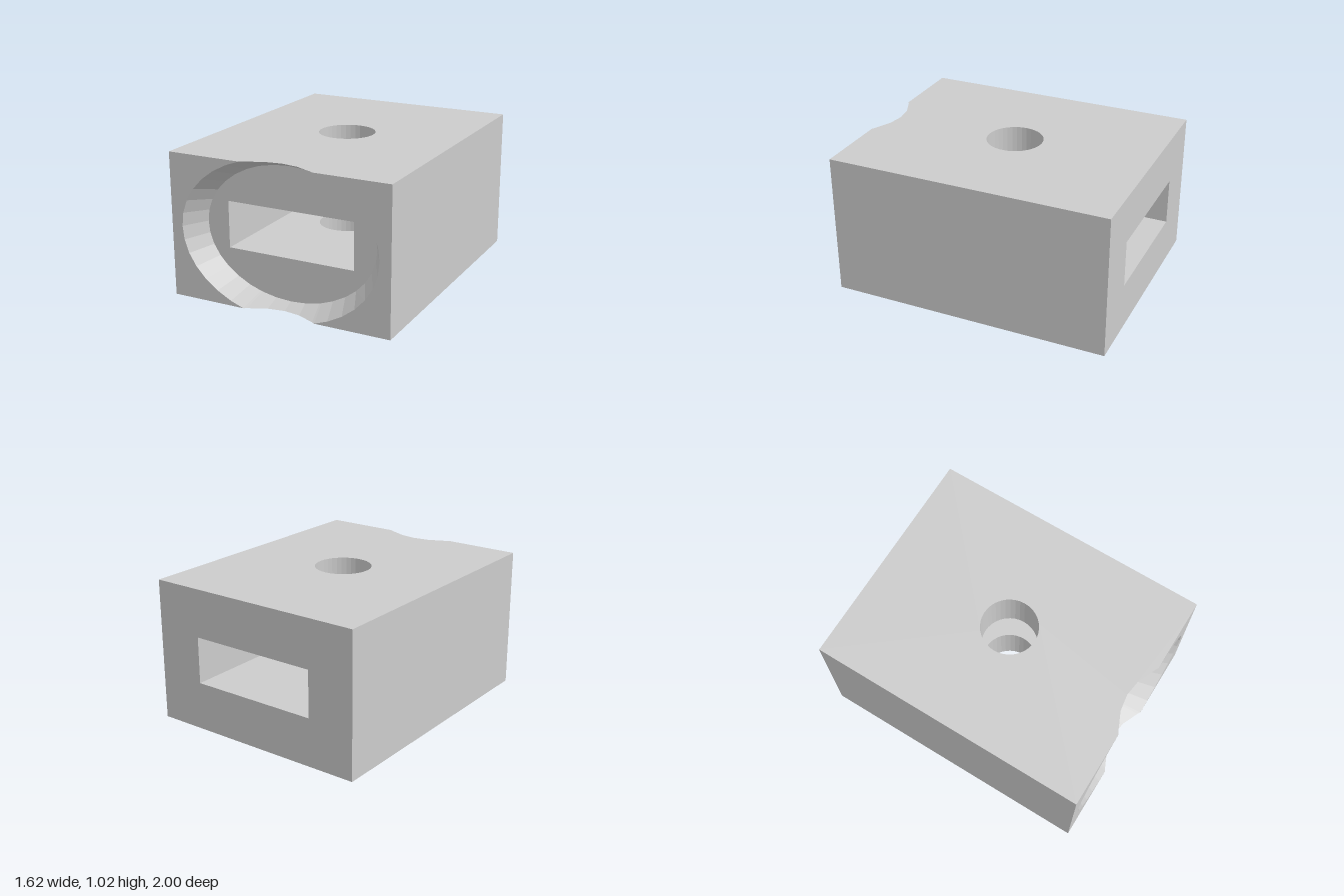
import * as THREE from 'three';

const W = 0.81, H = 0.508, D = 1;                 // half sizes of the block
const SLOT_W = 0.47, SLOT_H = 0.166;              // half sizes of the slot
const HOLE_R = 0.2, FLOOR_Z = 0.83, SIDES = 36;
const OUTER = [0.73, 0.546], INNER = [0.635, 0.471]; // recess ellipse radii

const V = (x, y) => new THREE.Vector2(x, y);
const rect = (w, h) => [V(-w, -h), V(w, -h), V(w, h), V(-w, h)];
const circle = (r, z = 0) => Array.from({ length: SIDES }, (_, i) => {
  const a = (i / SIDES) * Math.PI * 2;
  return V(Math.cos(a) * r, Math.sin(a) * r + z);
});

// Flat face in the xy plane, facing +z
function face(points, hole) {
  const shape = new THREE.Shape(points);
  if (hole) shape.holes.push(new THREE.Path(hole));
  return new THREE.ShapeGeometry(shape);
}

// Horizontal face from (x, z) points at height y, facing up or down
function level(points, hole, y, up) {
  const s = up ? -1 : 1;
  const flip = (list) => list && list.map((p) => V(p.x, s * p.y));
  return face(flip(points), flip(hole)).rotateX(s * Math.PI / 2).translate(0, y, 0);
}

// Faceted band between two rows of points
function band(a, b) {
  const pos = [];
  for (let i = 0; i + 1 < a.length; i++) {
    for (const p of [a[i], a[i + 1], b[i], a[i + 1], b[i + 1], b[i]]) pos.push(...p);
  }
  const geo = new THREE.BufferGeometry();
  geo.setAttribute('position', new THREE.Float32BufferAttribute(pos, 3));
  geo.computeVertexNormals();
  return geo;
}

export function createModel() {
  const model = new THREE.Group();
  const body = new THREE.Group();
  body.position.y = H;
  model.add(body);
  const grey = new THREE.MeshStandardMaterial({ color: 0xcccccc });
  grey.name = 'grey';
  const add = (name, geo) => {
    const mesh = new THREE.Mesh(geo, grey);
    mesh.name = name;
    body.add(mesh);
  };

  // Recess angles, with the four places where its rim leaves the block
  const clip = Math.asin(H / OUTER[1]);
  const angles = [clip, Math.PI - clip, Math.PI + clip, 2 * Math.PI - clip];
  for (let i = 0; i <= SIDES; i++) angles.push((i / SIDES) * Math.PI * 2);
  angles.sort((a, b) => a - b);

  // Point on the tapered recess wall, trimmed at the top and bottom of the block
  const rim = (a) => {
    const s = Math.abs(Math.sin(a));
    const t = s * OUTER[1] > H ? (OUTER[1] - H / s) / (OUTER[1] - INNER[1]) : 0;
    const r = (k) => OUTER[k] + (INNER[k] - OUTER[k]) * t;
    return [Math.cos(a) * r(0), Math.sin(a) * r(1), D + (FLOOR_Z - D) * t];
  };
  const foot = (a) => [Math.cos(a) * INNER[0], Math.sin(a) * INNER[1], FLOOR_Z];
  add('recessWall', band(angles.map(rim), angles.map(foot)));
  add('recessFloor', face(angles.slice(0, -1).map((a) => V(...foot(a))), rect(SLOT_W, SLOT_H))
    .translate(0, 0, FLOOR_Z));

  // Front face, left in two pieces by the recess
  const between = (lo, hi) => angles.filter((a) => a >= lo - 1e-9 && a <= hi + 1e-9);
  const upper = between(0, clip).map((a) => V(...rim(a)));
  const lower = upper.slice(1).reverse().map((p) => V(p.x, -p.y));
  const half = [...lower, ...upper, V(W, H), V(W, -H)];
  for (const s of [1, -1]) {
    add(s > 0 ? 'frontLeft' : 'frontRight',
      face(half.map((p) => V(s * p.x, p.y))).translate(0, 0, D));
    add(s > 0 ? 'leftSide' : 'rightSide',
      face(rect(D, H)).rotateY(s * Math.PI / 2).translate(s * W, 0, 0));
    add('slotSide',
      face([V(-D, -SLOT_H), V(FLOOR_Z, -SLOT_H), V(FLOOR_Z, SLOT_H), V(-D, SLOT_H)]
        .map((p) => V(s * p.x, p.y))).rotateY(-s * Math.PI / 2).translate(s * SLOT_W, 0, 0));
  }
  add('back', face(rect(W, H), rect(SLOT_W, SLOT_H)).rotateY(Math.PI).translate(0, 0, -D));

  // Top and bottom with the notch cut by the recess, slot faces and round hole
  const notch = between(clip, Math.PI - clip).map(rim).map((p) => V(p[0], p[2]));
  const plan = [V(W, -D), V(W, D), ...notch, V(-W, D), V(-W, -D)];
  const slotPlan = [V(-SLOT_W, -D), V(SLOT_W, -D), V(SLOT_W, FLOOR_Z), V(-SLOT_W, FLOOR_Z)];
  const hole = circle(HOLE_R);
  const loop = [...hole, hole[0]];
  const ring = (y) => loop.map((p) => [p.x, y, p.y]);
  for (const s of [1, -1]) {
    const up = s > 0;
    add(up ? 'top' : 'bottom', level(plan, hole, s * H, up));
    add(up ? 'slotCeiling' : 'slotFloor', level(slotPlan, hole, s * SLOT_H, !up));
    add(up ? 'upperHole' : 'lowerHole',
      up ? band(ring(SLOT_H), ring(H)) : band(ring(-H), ring(-SLOT_H)));
  }
  return model;
}
